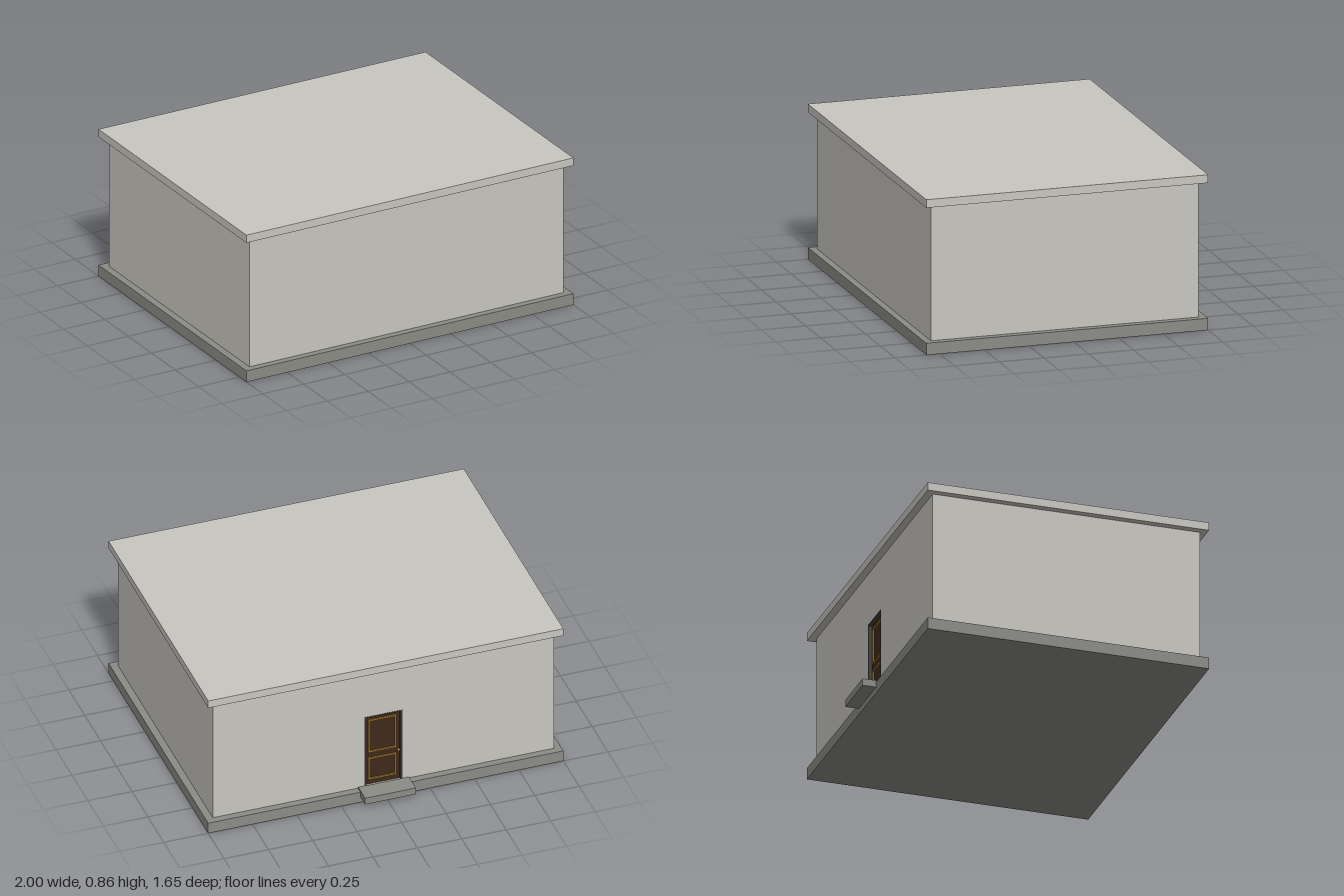
import * as THREE from 'three';

const mat = (name, color) => {
  const m = new THREE.MeshStandardMaterial({ color });
  m.name = name;
  return m;
};

export function createModel() {
  const plaster = mat('pale plaster', 0xc9c7c0);
  const stone = mat('grey stone', 0x8c8c87);
  const dark = mat('dark frame', 0x454545);
  const wood = mat('brown wood', 0x402a1c);
  const gold = mat('gold trim', 0xb5852a);

  const model = new THREE.Group();
  model.name = 'building';

  // Box given by its extents on each axis
  const box = (name, material, x0, x1, y0, y1, z0, z1, parent = model) => {
    const mesh = new THREE.Mesh(new THREE.BoxGeometry(x1 - x0, y1 - y0, z1 - z0), material);
    mesh.position.set((x0 + x1) / 2, (y0 + y1) / 2, (z0 + z1) / 2);
    mesh.name = name;
    parent.add(mesh);
    return mesh;
  };

  // Upright plate with a doorway cut from its lower edge
  const archedPlate = (name, material, outerX, innerX, bottom, top, innerTop, z, depth, parent) => {
    const shape = new THREE.Shape([
      [-outerX, bottom], [-innerX, bottom], [-innerX, innerTop], [innerX, innerTop],
      [innerX, bottom], [outerX, bottom], [outerX, top], [-outerX, top],
    ].map(([x, y]) => new THREE.Vector2(x, y)));
    const mesh = new THREE.Mesh(new THREE.ExtrudeGeometry(shape, { depth, bevelEnabled: false }), material);
    mesh.position.z = z;
    mesh.name = name;
    parent.add(mesh);
  };

  // Plinth, walls and roof slab
  box('plinth', stone, -1, 1, 0, 0.065, -0.75, 0.825);
  box('walls', plaster, -0.96, 0.96, 0.065, 0.81, -0.67, 0.787);
  archedPlate('backWall', plaster, 0.96, 0.107, 0.065, 0.81, 0.514, -0.71, 0.04, model);
  box('roofSlab', plaster, -1, 1, 0.81, 0.855, -0.75, 0.825);

  // Doorstep
  box('doorstep', stone, -0.143, 0.143, 0.035, 0.075, -0.825, -0.715);

  // Recessed door in the back wall
  const door = new THREE.Group();
  door.name = 'door';
  model.add(door);
  archedPlate('doorFrame', dark, 0.107, 0.099, 0.065, 0.514, 0.506, -0.711, 0.041, door);
  box('doorLeaf', wood, -0.099, 0.099, 0.065, 0.506, -0.69, -0.67, door);

  // Gold outlines of the two door panels
  const t = 0.009;
  for (const [name, y0, y1] of [['upperPanel', 0.27, 0.48], ['lowerPanel', 0.095, 0.235]]) {
    const w = 0.08;
    for (const y of [y0, y1 - t]) box(name + 'Rail', gold, -w, w, y, y + t, -0.698, -0.69, door);
    for (const x of [-w, w - t]) box(name + 'Stile', gold, x, x + t, y0 + t, y1 - t, -0.698, -0.69, door);
  }

  // Door knob
  const knob = new THREE.Mesh(new THREE.SphereGeometry(0.008, 16, 12), gold);
  knob.position.set(-0.09, 0.253, -0.7);
  knob.name = 'doorKnob';
  door.add(knob);

  return model;
}
